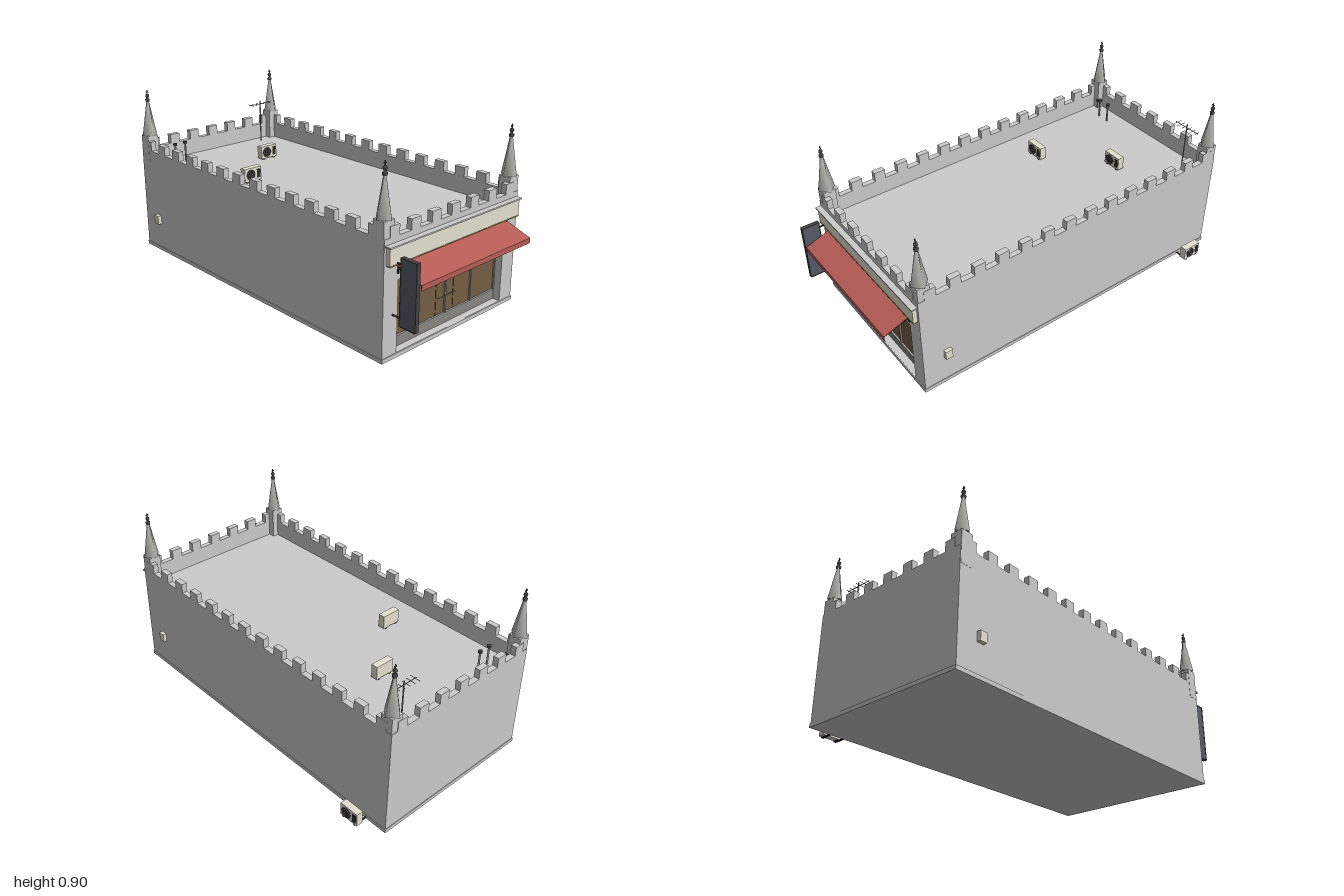
import * as THREE from 'three';

const mat = (color) => new THREE.MeshStandardMaterial({ color, side: THREE.DoubleSide });
const M = {
  stone: mat(0xcccccc), dark: mat(0x444444), cone: mat(0xb4b4ae), glass: mat(0x745f43),
  riser: mat(0x8a8783), metal: mat(0x9a9a9c), cream: mat(0xe6e2d2), gold: mat(0xa08a4c),
  red: mat(0xb85c57), slate: mat(0x555b68), black: mat(0x2a2a2a),
};

// Outer limits of the building
const X0 = -0.49, X1 = 0.43, Z0 = -0.99, Z1 = 0.86;
const CX = (X0 + X1) / 2, ROOF = 0.485, TOP = 0.572, T = 0.03;

export function createModel() {
  const root = new THREE.Group();
  root.name = 'castleShop';

  const add = (name, geo, m, parent = root) => {
    const mesh = new THREE.Mesh(geo, m);
    mesh.name = name;
    parent.add(mesh);
    return mesh;
  };
  // Box given by its limits on each axis
  const box = (name, x0, x1, y0, y1, z0, z1, m = M.stone, parent = root) => {
    const b = add(name, new THREE.BoxGeometry(x1 - x0, y1 - y0, z1 - z0), m, parent);
    b.position.set((x0 + x1) / 2, (y0 + y1) / 2, (z0 + z1) / 2);
    return b;
  };
  // Round bar between two points
  const rod = (name, a, b, r, m = M.metal, parent = root) => {
    const p = new THREE.Vector3(...a), q = new THREE.Vector3(...b);
    const mesh = add(name, new THREE.CylinderGeometry(r, r, p.distanceTo(q), 8), m, parent);
    mesh.position.copy(p).lerp(q, 0.5);
    mesh.quaternion.setFromUnitVectors(new THREE.Vector3(0, 1, 0), q.sub(p).normalize());
    return mesh;
  };
  const group = (name, x, y, z) => {
    const g = new THREE.Group();
    g.name = name;
    g.position.set(x, y, z);
    root.add(g);
    return g;
  };

  // Main block, plinth and parapet
  box('mainBlock', X0, X1, 0.02, ROOF, Z0, 0.80);
  box('plinth', X0 - 0.003, X1 + 0.003, 0, 0.02, Z0 - 0.003, Z1 + 0.004);
  box('parapetBack', X0, X1, ROOF, TOP, Z0, Z0 + T);
  box('parapetRight', X0, X0 + T, ROOF, TOP, Z0 + T, Z1 - T);
  box('parapetLeft', X1 - T, X1, ROOF, TOP, Z0 + T, Z1 - T);
  box('parapetFront', X0, X1, ROOF, TOP, Z1 - T, Z1);
  box('roofEdge', X0 + T, X1 - T, ROOF - 0.02, ROOF, 0.79, Z1 - T);

  // Front wall with the shop opening
  const wall = new THREE.Shape();
  wall.moveTo(X0, 0.02).lineTo(X1, 0.02).lineTo(X1, ROOF).lineTo(X0, ROOF).closePath();
  const hole = new THREE.Path();
  hole.moveTo(-0.4, 0.021).lineTo(-0.4, 0.37).lineTo(0.34, 0.37).lineTo(0.34, 0.021).closePath();
  wall.holes.push(hole);
  add('frontWall', new THREE.ExtrudeGeometry(wall, { depth: 0.06, bevelEnabled: false }), M.stone)
    .position.z = 0.80;

  // Battlements
  const merlon = (x0, x1, z0, z1) => box('merlon', x0, x1, TOP, 0.622, z0, z1);
  for (let i = -3; i <= 3; i++) {
    const x = -0.031 + i * 0.1317;
    merlon(x - 0.029, x + 0.029, Z1 - T, Z1);
    merlon(x - 0.029, x + 0.029, Z0, Z0 + T);
  }
  for (let k = -6; k <= 6; k++) {
    const z = k * 0.1325;
    merlon(X0, X0 + T, z - 0.03, z + 0.03);
    merlon(X1 - T, X1, z - 0.03, z + 0.03);
  }
  for (const x of [X0, X1 - T]) merlon(x, x + T, -0.957, -0.897);

  // Corner turrets with pyramid spires and finials
  const finial = [[0.011, 0], [0.013, 0.012], [0.007, 0.015], [0.006, 0.022], [0.011, 0.03],
    [0.009, 0.038], [0.003, 0.042], [0.003, 0.062], [0, 0.064]].map((p) => new THREE.Vector2(...p));
  for (const x of [-0.459, 0.397]) for (const z of [-0.955, 0.825]) {
    const t = group('turret', x, 0, z);
    box('turretPier', -0.032, 0.032, ROOF, 0.65, -0.032, 0.032, M.stone, t);
    add('turretSpire', new THREE.CylinderGeometry(0.008, 0.045, 0.19, 4), M.cone, t).position.y = 0.745;
    add('finial', new THREE.LatheGeometry(finial, 8), M.dark, t).position.y = 0.836;
    box('finialCross', -0.007, 0.007, 0.886, 0.891, -0.002, 0.002, M.dark, t);
  }

  // Shopfront: riser, glazing, mullions and double door
  box('stallRiser', -0.4, 0.34, 0.02, 0.072, 0.80, 0.822, M.riser);
  box('glazing', -0.395, 0.335, 0.072, 0.345, 0.80, 0.815, M.glass);
  box('transomHeader', -0.4, 0.34, 0.345, 0.37, 0.80, 0.83);
  box('sill', -0.395, 0.335, 0.069, 0.074, 0.81, 0.825, M.metal);
  for (const x of [-0.397, -0.217, 0.153, 0.337]) {
    box('mullion', x - 0.003, x + 0.003, 0.07, 0.345, 0.81, 0.823, M.metal);
  }
  box('centreMullion', -0.035, -0.027, 0.07, 0.345, 0.81, 0.823, M.metal);
  for (const x of [-0.093, 0.03]) box('doorEdge', x - 0.001, x + 0.001, 0.072, 0.304, 0.81, 0.817, M.dark);
  box('doorTop', -0.093, 0.03, 0.302, 0.304, 0.81, 0.817, M.dark);
  rod('doorPushBar', [-0.093, 0.166, 0.83], [0.03, 0.166, 0.83], 0.0025);

  // Fascia sign board with cornice
  box('fascia', -0.478, 0.416, 0.457, 0.537, Z1, 0.882, M.cream);
  box('fasciaTrim', -0.478, 0.416, 0.452, 0.457, Z1, 0.884, M.gold);
  box('cornice', -0.485, 0.424, 0.537, 0.544, Z1, 0.89);

  // Sloped awning with valance and arms
  const awning = new THREE.Shape();
  awning.moveTo(0.862, 0.44).lineTo(1.0, 0.392).lineTo(1.0, 0.366).lineTo(0.997, 0.366)
    .lineTo(0.997, 0.389).lineTo(0.862, 0.436).closePath();
  const cloth = add('awning', new THREE.ExtrudeGeometry(awning, { depth: 0.762, bevelEnabled: false }), M.red);
  cloth.rotation.y = -Math.PI / 2;
  cloth.position.x = 0.351;
  for (const x of [-0.405, 0.345]) {
    box('awningBracket', x - 0.003, x + 0.003, 0.4, 0.444, Z1, 0.868, M.black);
    rod('awningArm', [x, 0.425, 0.865], [x, 0.387, 0.996], 0.003, M.black);
  }

  // Projecting blade sign
  box('bladeSign', -0.441, -0.423, 0.182, 0.495, 0.91, 0.998, M.slate);
  for (const z of [0.908, 0.996]) box('bladeEdge', -0.443, -0.421, 0.18, 0.497, z, z + 0.004, M.dark);
  for (const y of [0.18, 0.493]) box('bladeEdge', -0.443, -0.421, y, y + 0.004, 0.91, 0.998, M.dark);
  for (const y of [0.215, 0.462]) rod('bladeBracket', [-0.432, y, Z1], [-0.432, y, 0.91], 0.004, M.black);

  // Air conditioners: fan on one side, louvres on the other
  const airCon = (x, y, z, turn) => {
    const g = group('airConditioner', x, y, z);
    g.rotation.y = turn;
    box('casing', -0.053, 0.053, 0.006, 0.076, -0.018, 0.018, M.cream, g);
    for (const s of [-1, 1]) box('foot', s * 0.035 - 0.006, s * 0.035 + 0.006, 0, 0.006, -0.018, 0.018, M.black, g);
    const fan = add('fanGrille', new THREE.CylinderGeometry(0.027, 0.027, 0.004, 20), M.black, g);
    fan.rotation.x = Math.PI / 2;
    fan.position.set(-0.016, 0.041, 0.019);
    for (const r of [0.01, 0.019, 0.027]) {
      add('fanRing', new THREE.TorusGeometry(r, 0.0012, 4, 20), M.metal, g).position.set(-0.016, 0.041, 0.021);
    }
    box('louvrePanel', 0.024, 0.046, 0.018, 0.064, 0.018, 0.02, M.black, g);
  };
  airCon(0.078, ROOF, -0.597, 0);
  airCon(-0.25, ROOF, -0.325, 0);
  airCon(0.488, 0.004, -0.833, Math.PI / 2);
  for (const z of [-0.87, -0.796]) box('wallBracket', X1, 0.505, 0.004, 0.009, z - 0.004, z + 0.004, M.black);

  // Meter boxes on the side walls
  box('meterBox', X1, 0.449, 0.162, 0.21, 0.71, 0.748, M.cream);
  box('meterBox', -0.511, X0, 0.162, 0.21, -0.88, -0.842, M.cream);

  // Roof vents
  for (const [x, z, h] of [[-0.353, -0.872, 0.595], [-0.287, -0.872, 0.595], [-0.428, -0.925, 0.54]]) {
    rod('ventPipe', [x, ROOF, z], [x, h - 0.01, z], 0.005);
    rod('ventCap', [x, h - 0.012, z], [x, h, z], 0.011, M.dark);
  }

  // Aerial
  rod('aerialMast', [0.284, ROOF, -0.91], [0.284, 0.732, -0.91], 0.0035);
  rod('aerialBoom', [0.206, 0.712, -0.91], [0.362, 0.712, -0.91], 0.002);
  for (let i = 0; i < 6; i++) {
    const x = 0.215 + i * 0.028, h = 0.03 - i * 0.003;
    rod('aerialElement', [x, 0.712, -0.91 - h], [x, 0.712, -0.91 + h], 0.0014);
  }
  return root;
}
